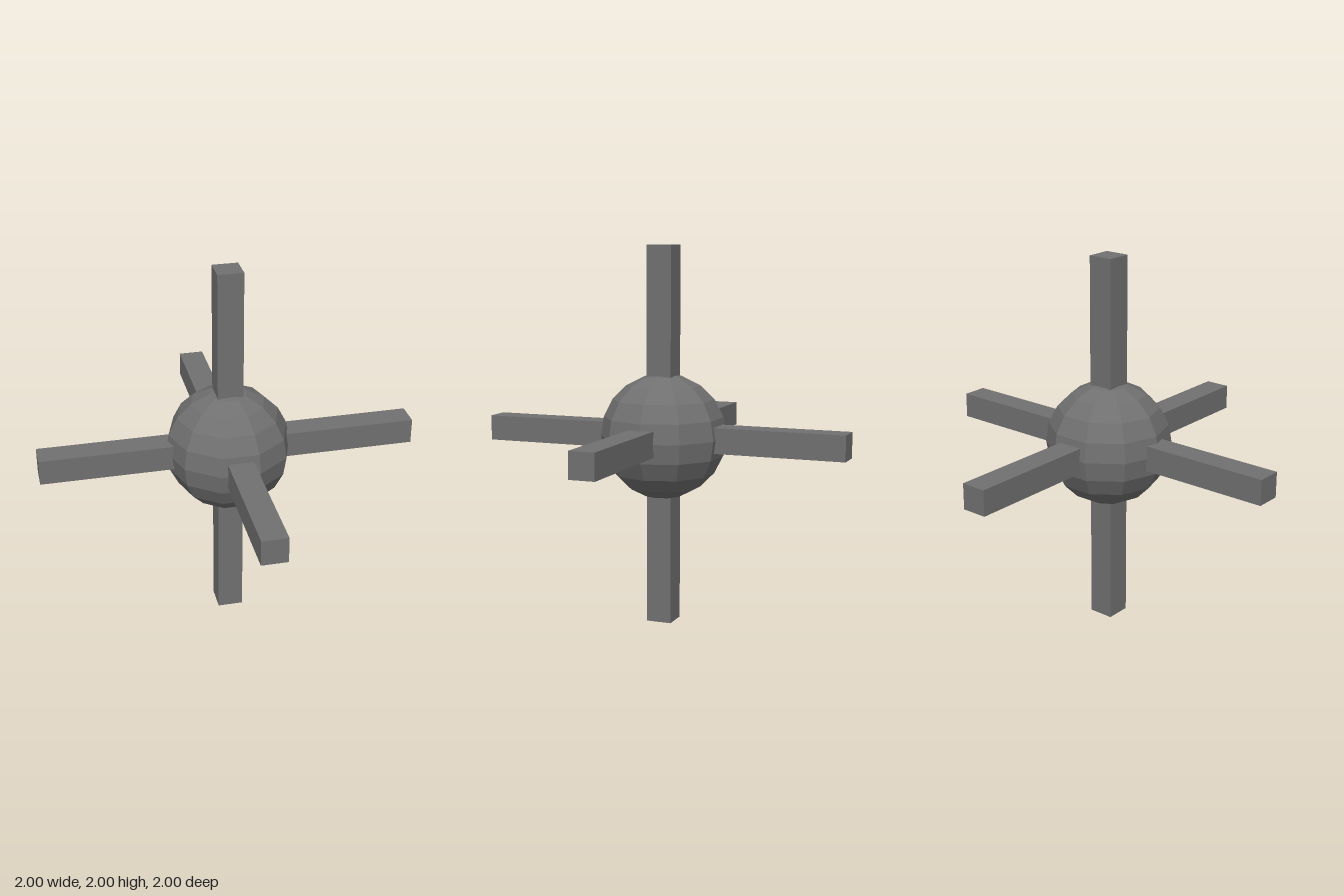
import * as THREE from 'three';

export function createModel() {
  const group = new THREE.Group();
  group.name = 'spikedBall';
  const material = new THREE.MeshStandardMaterial({ color: 0x707070, flatShading: true });

  const add = (name, geometry) => {
    const mesh = new THREE.Mesh(geometry, material);
    mesh.name = name;
    mesh.position.y = 1;
    group.add(mesh);
  };

  // Faceted ball in the middle
  add('ball', new THREE.SphereGeometry(0.333, 10, 10));

  // Three square bars crossing at the centre, one along each axis
  const t = 0.135;
  add('sideBar', new THREE.BoxGeometry(2, t, t));
  add('uprightBar', new THREE.BoxGeometry(t, 2, t));
  add('depthBar', new THREE.BoxGeometry(t, t, 2));

  return group;
}
